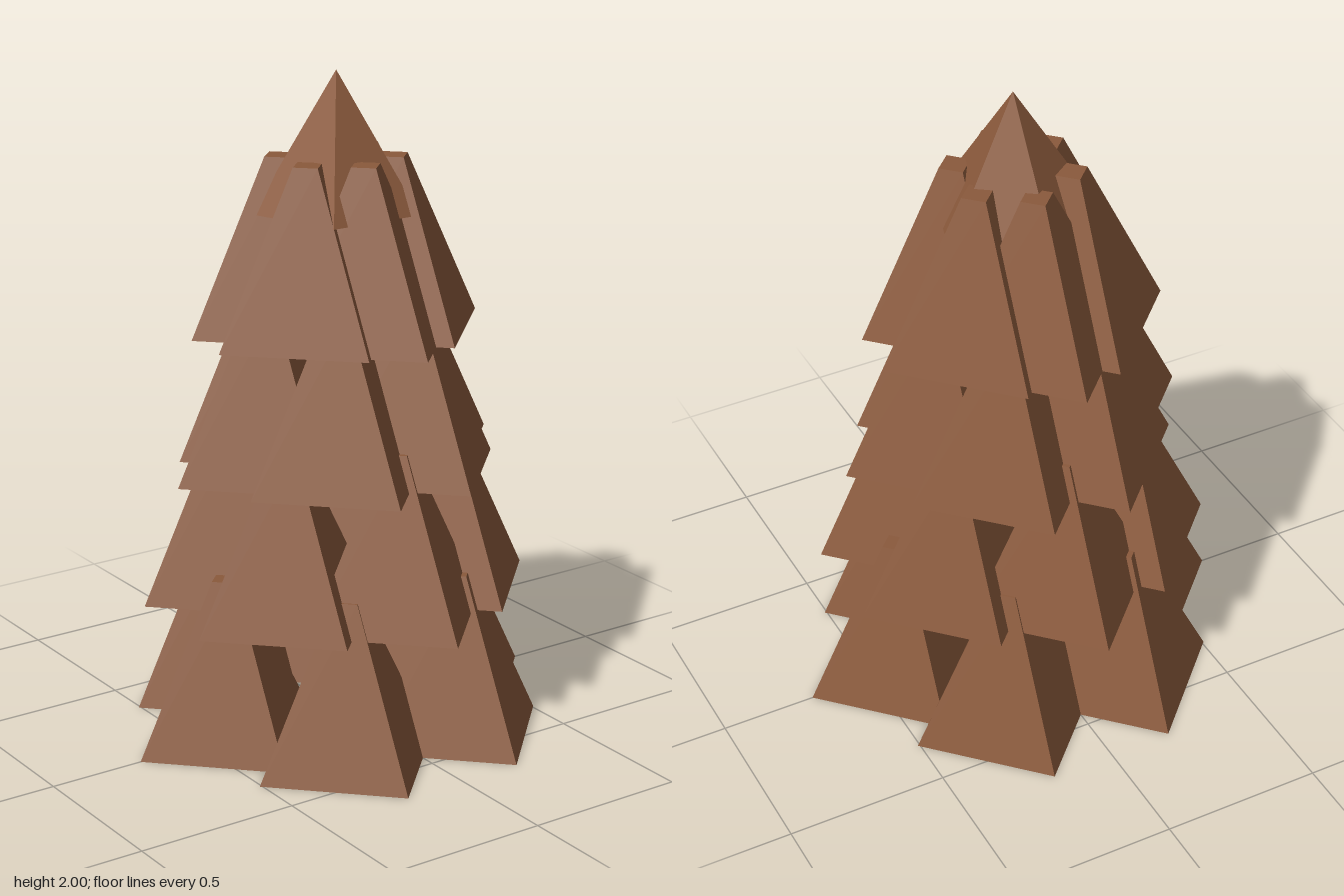
import * as THREE from 'three';

// Low-poly tree: four rings of six square tapered boughs, each ring turned
// half a radian further and pulled inwards, under a five-sided tip.
export function createModel() {
  const tree = new THREE.Group();
  tree.name = 'tree';

  const brown = new THREE.MeshStandardMaterial({ color: 0x8b5a3c });
  brown.name = 'brown';

  // Four-sided frustum with its corners on the x and z axes
  const flat = (geometry) => {
    const g = geometry.toNonIndexed();
    g.computeVertexNormals();
    return g;
  };
  const height = 0.5147;
  const boughGeometry = flat(new THREE.CylinderGeometry(0.0515, 0.309, height, 4));

  // Rings of boughs
  const rings = 4, boughs = 6, spacing = 0.4118;
  for (let r = 0; r < rings; r++) {
    const ring = new THREE.Group();
    ring.name = `boughRing${r + 1}`;
    const radius = 0.396 - r * 0.0765;
    for (let i = 0; i < boughs; i++) {
      const angle = r * 0.5 + (i / boughs) * Math.PI * 2;
      const bough = new THREE.Mesh(boughGeometry, brown);
      bough.name = `bough${i + 1}`;
      bough.position.set(
        Math.cos(angle) * radius,
        r * spacing + height / 2,
        -Math.sin(angle) * radius
      );
      ring.add(bough);
    }
    tree.add(ring);
  }

  // Pointed tip, one edge facing the back
  const tipHeight = 0.4118;
  const tip = new THREE.Mesh(flat(new THREE.ConeGeometry(0.257, tipHeight, 5)), brown);
  tip.name = 'treeTip';
  tip.rotation.y = Math.PI;
  tip.position.y = 2 - tipHeight / 2;
  tree.add(tip);

  return tree;
}
